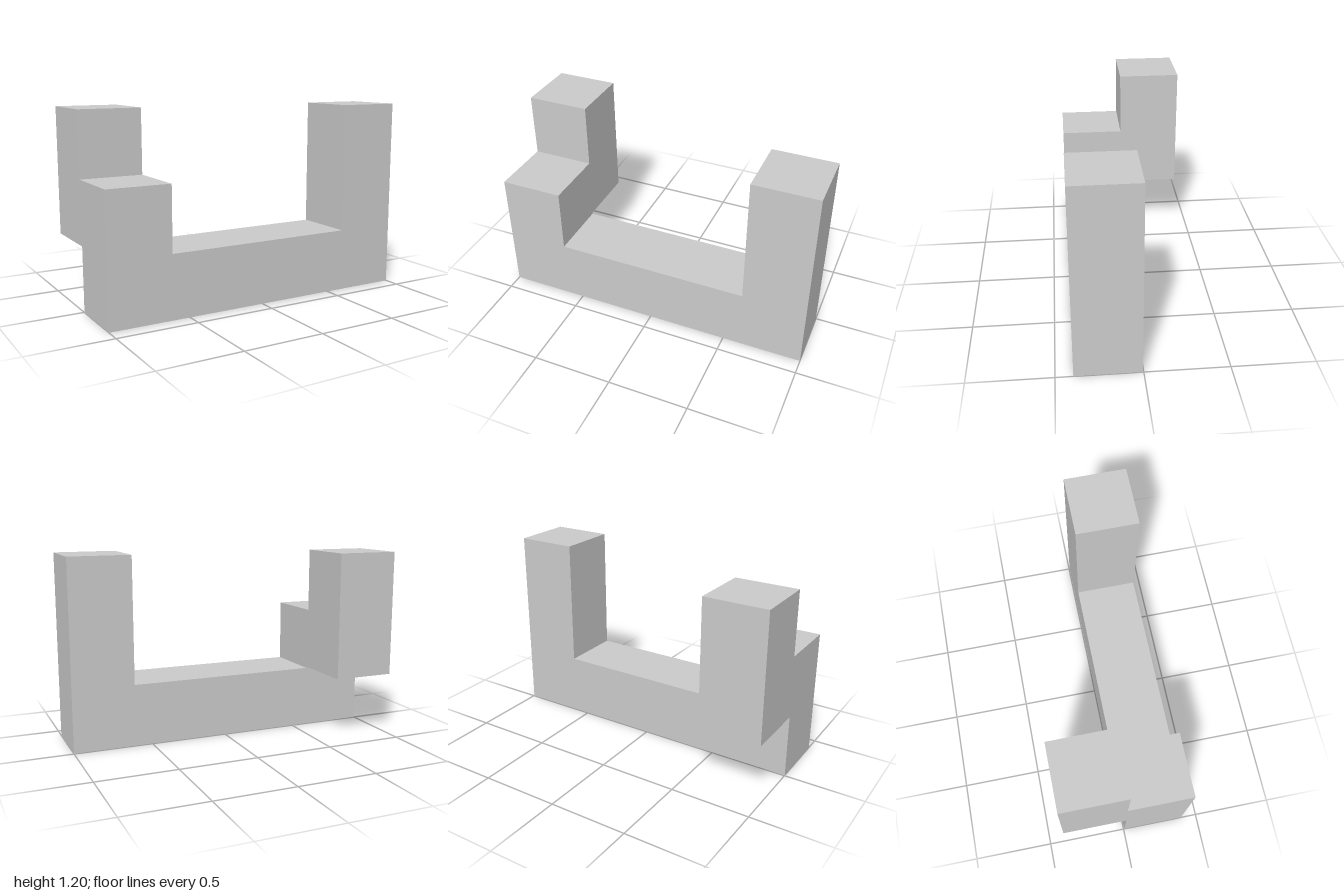
import * as THREE from 'three';

// Modular cubes: edge length and centre-to-centre spacing
const EDGE = 0.393;
const STEP = (2 - EDGE) / 4;
const HALF_DEPTH = (STEP + EDGE) / 2;

// Extent reached by n cubes in a row
const reach = (n) => (n - 1) * STEP + EDGE;

function extrudeProfile(points, name) {
  const shape = new THREE.Shape(points.map(([x, y]) => new THREE.Vector2(x, y)));
  const geometry = new THREE.ExtrudeGeometry(shape, { depth: EDGE, bevelEnabled: false });
  const material = new THREE.MeshStandardMaterial({ color: 0xcccccc, flatShading: true });
  const mesh = new THREE.Mesh(geometry, material);
  mesh.name = name;
  return mesh;
}

export function createModel() {
  const group = new THREE.Group();
  group.name = 'blockPiece';

  // Front bar with a short upright on the right and a tall one on the left
  const inner = 1 - EDGE;
  const frame = extrudeProfile([
    [-1, 0], [1, 0], [1, reach(3)], [inner, reach(3)],
    [inner, EDGE], [-inner, EDGE], [-inner, reach(2)], [-1, reach(2)],
  ], 'frontFrame');
  frame.position.z = HALF_DEPTH - EDGE;
  group.add(frame);

  // Rear upright, with a narrow tongue joining it to the short upright
  const gap = HALF_DEPTH - EDGE;
  const rear = extrudeProfile([
    [-gap, STEP], [HALF_DEPTH, STEP], [HALF_DEPTH, reach(3)],
    [gap, reach(3)], [gap, reach(2)], [-gap, reach(2)],
  ], 'rearUpright');
  rear.geometry.rotateY(Math.PI / 2);
  rear.position.x = -1;
  group.add(rear);

  return group;
}
